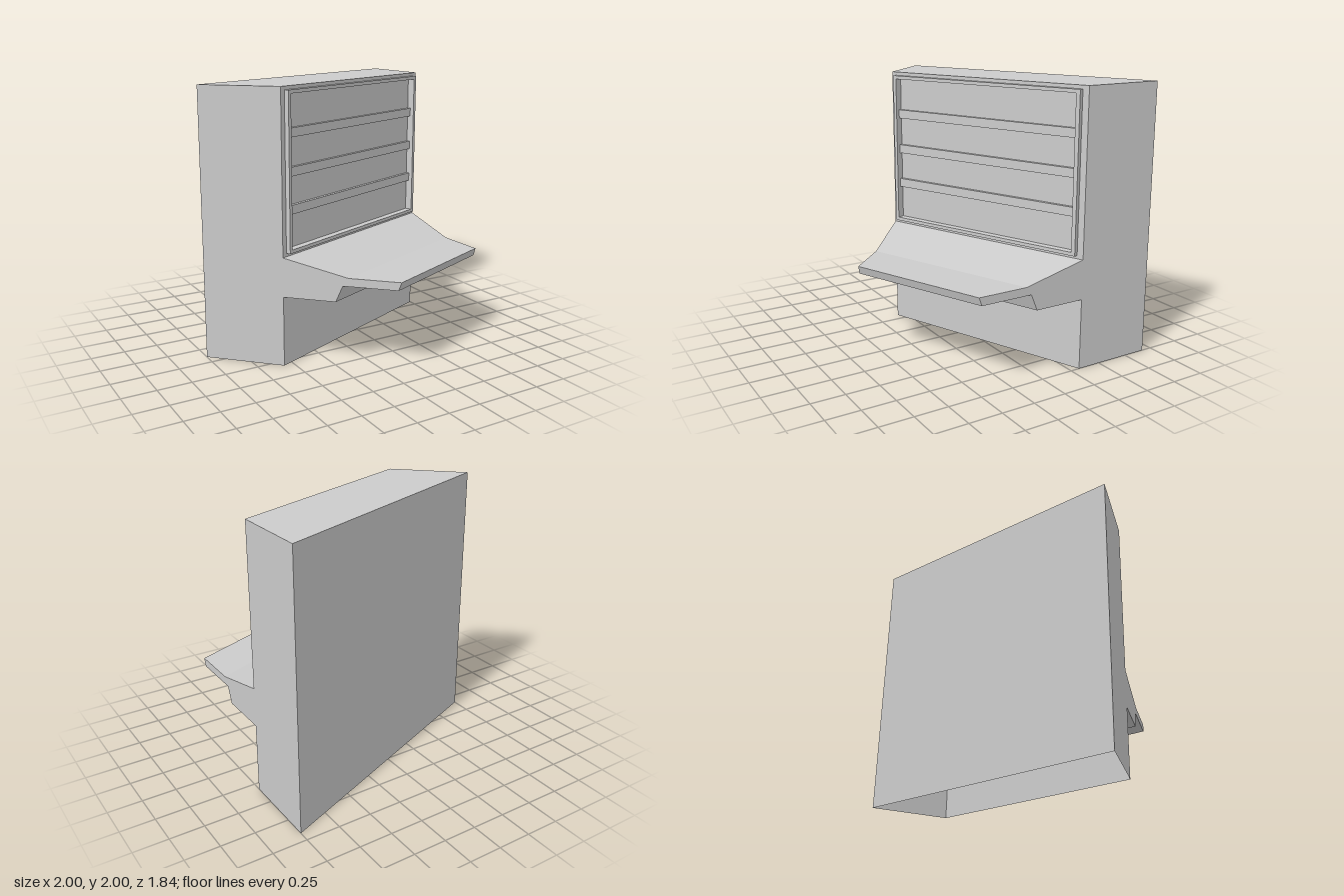
import * as THREE from 'three';

const material = new THREE.MeshStandardMaterial({ color: 0xcccccc, flatShading: true, side: THREE.DoubleSide });
const SLOPE = 0.41; // the cabinet front runs back by this much per unit of x

// Cabinet section where it meets the plane x = 1, as [z, y]
const profile = [
  [-0.92, 0], [-0.92, 2], [-0.32, 2], [-0.32, 0.81], [0.15, 0.7], [0.52, 0.7],
  [0.5, 0.64], [0.11, 0.64], [0.06, 0.52], [-0.32, 0.52], [-0.32, 0],
];
const panelNames = ['backWall', 'top', null, 'counterSlope', 'counterTop', 'counterEdge',
  'counterUnderside', 'apron', 'apronUnderside', 'lowerFront'];

// Section points on the two mitred ends
const rightEnd = (z, y) => [1, y, z];
const leftEnd = (z, y) => {
  const x = (z - 0.9 + SLOPE) / (1 + SLOPE);
  return [x, y, x + 0.9];
};

function add(parent, name, geometry) {
  const mesh = new THREE.Mesh(geometry, material);
  mesh.name = name;
  parent.add(mesh);
  return mesh;
}

function quad(a, b, c, d) {
  const g = new THREE.BufferGeometry();
  g.setAttribute('position', new THREE.Float32BufferAttribute([a, b, c, a, c, d].flat(), 3));
  g.computeVertexNormals();
  return g;
}

// Flat end wall: the section outline moved onto its end plane
function endWall(place, flip) {
  const shape = new THREE.Shape(profile.map(([z, y]) => new THREE.Vector2(z, y)));
  const g = new THREE.ShapeGeometry(shape);
  const p = g.attributes.position;
  for (let i = 0; i < p.count; i++) p.setXYZ(i, ...place(p.getX(i), p.getY(i)));
  if (flip) g.setIndex(Array.from(g.index.array).reverse());
  g.computeVertexNormals();
  return g;
}

function rectangle(x0, y0, x1, y1, Type = THREE.Shape) {
  return new Type([[x0, y0], [x1, y0], [x1, y1], [x0, y1]].map(([x, y]) => new THREE.Vector2(x, y)));
}

export function createModel() {
  const model = new THREE.Group();
  model.name = 'cornerDisplayCabinet';

  // Hollow shell, open at the bottom
  panelNames.forEach((name, i) => {
    if (!name) return;
    const p = profile[i], q = profile[i + 1];
    add(model, name, quad(leftEnd(...p), leftEnd(...q), rightEnd(...q), rightEnd(...p)));
  });
  add(model, 'leftEndWall', endWall(rightEnd, true));
  add(model, 'rightEndWall', endWall(leftEnd, false));

  // Display front: local x runs along the front, local z points out of it
  const display = new THREE.Group();
  display.name = 'displayFront';
  display.position.set(1, 0, -0.32);
  display.rotation.y = Math.atan(SLOPE);
  model.add(display);

  const width = (1 - leftEnd(-0.32, 0)[0]) * Math.hypot(1, SLOPE);
  const inner = [-1.636, 0.86, -0.077, 1.95];
  const outer = [-1.663, 0.835, -0.047, 1.975];
  const back = -0.02;

  const wall = rectangle(-width, 0.81, 0, 2);
  wall.holes.push(rectangle(...inner, THREE.Path));
  add(display, 'upperFront', new THREE.ShapeGeometry(wall));

  // Raised frame around the recess
  const frame = rectangle(...outer);
  frame.holes.push(rectangle(...inner, THREE.Path));
  add(display, 'frame', new THREE.ExtrudeGeometry(frame, { depth: 0.055, bevelEnabled: false }))
    .position.z = back;
  add(display, 'recessPanel', new THREE.ShapeGeometry(rectangle(...inner))).position.z = back;

  // Shelves
  for (const y of [1.1375, 1.4075, 1.68]) {
    add(display, 'shelf', new THREE.BoxGeometry(inner[2] - inner[0], 0.065, 0.025))
      .position.set((inner[0] + inner[2]) / 2, y, back + 0.0125);
  }
  return model;
}
